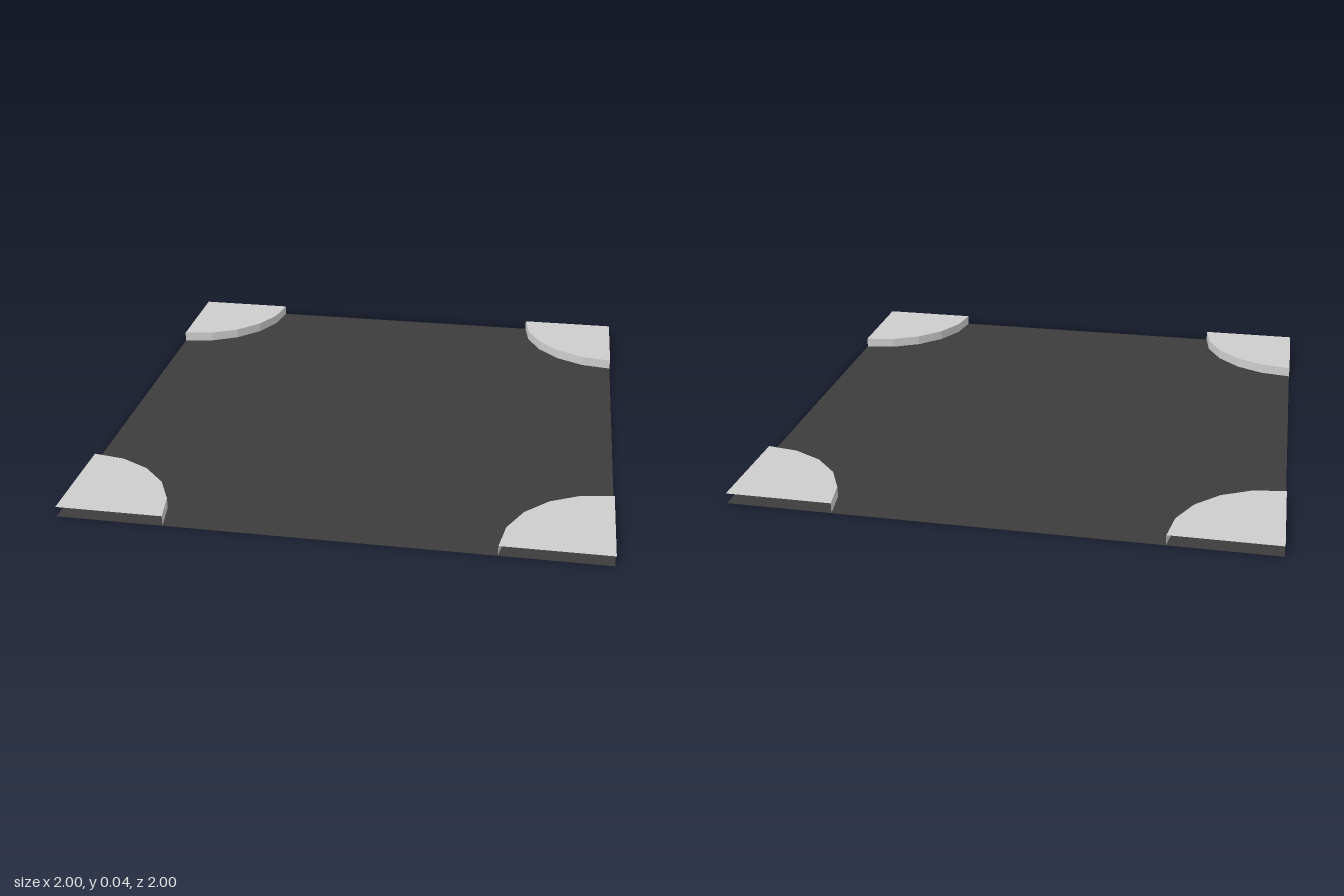
import * as THREE from 'three';

const RADIUS = 0.4;
const HEIGHT = 0.04;
const SEGMENTS = 5;

export function createModel() {
  const model = new THREE.Group();
  model.name = 'crossroadTile';

  const asphalt = new THREE.MeshStandardMaterial({ color: 0x3c3c3c, side: THREE.DoubleSide, flatShading: true });
  asphalt.name = 'asphalt';
  const paving = new THREE.MeshStandardMaterial({ color: 0xcccccc, side: THREE.DoubleSide, flatShading: true });
  paving.name = 'paving';

  // Flat road sheet covering the whole tile
  const road = new THREE.Mesh(new THREE.PlaneGeometry(2, 2).rotateX(-Math.PI / 2), asphalt);
  road.name = 'road';
  model.add(road);

  // Quarter-round pavement: top slab and curved kerb, open along the tile's edges
  const topGeometry = new THREE.CircleGeometry(RADIUS, SEGMENTS, -Math.PI / 2, Math.PI / 2)
    .rotateX(-Math.PI / 2)
    .translate(-1, HEIGHT, -1);
  const kerbGeometry = new THREE.CylinderGeometry(RADIUS, RADIUS, HEIGHT, SEGMENTS, 1, true, 0, Math.PI / 2)
    .translate(-1, HEIGHT / 2, -1);

  // One pavement in each corner
  for (let i = 0; i < 4; i++) {
    const corner = new THREE.Group();
    corner.name = 'cornerPavement' + (i + 1);
    const top = new THREE.Mesh(topGeometry, paving);
    top.name = 'pavementTop';
    const kerb = new THREE.Mesh(kerbGeometry, paving);
    kerb.name = 'kerb';
    corner.add(top, kerb);
    corner.rotation.y = (i * Math.PI) / 2;
    model.add(corner);
  }

  return model;
}
